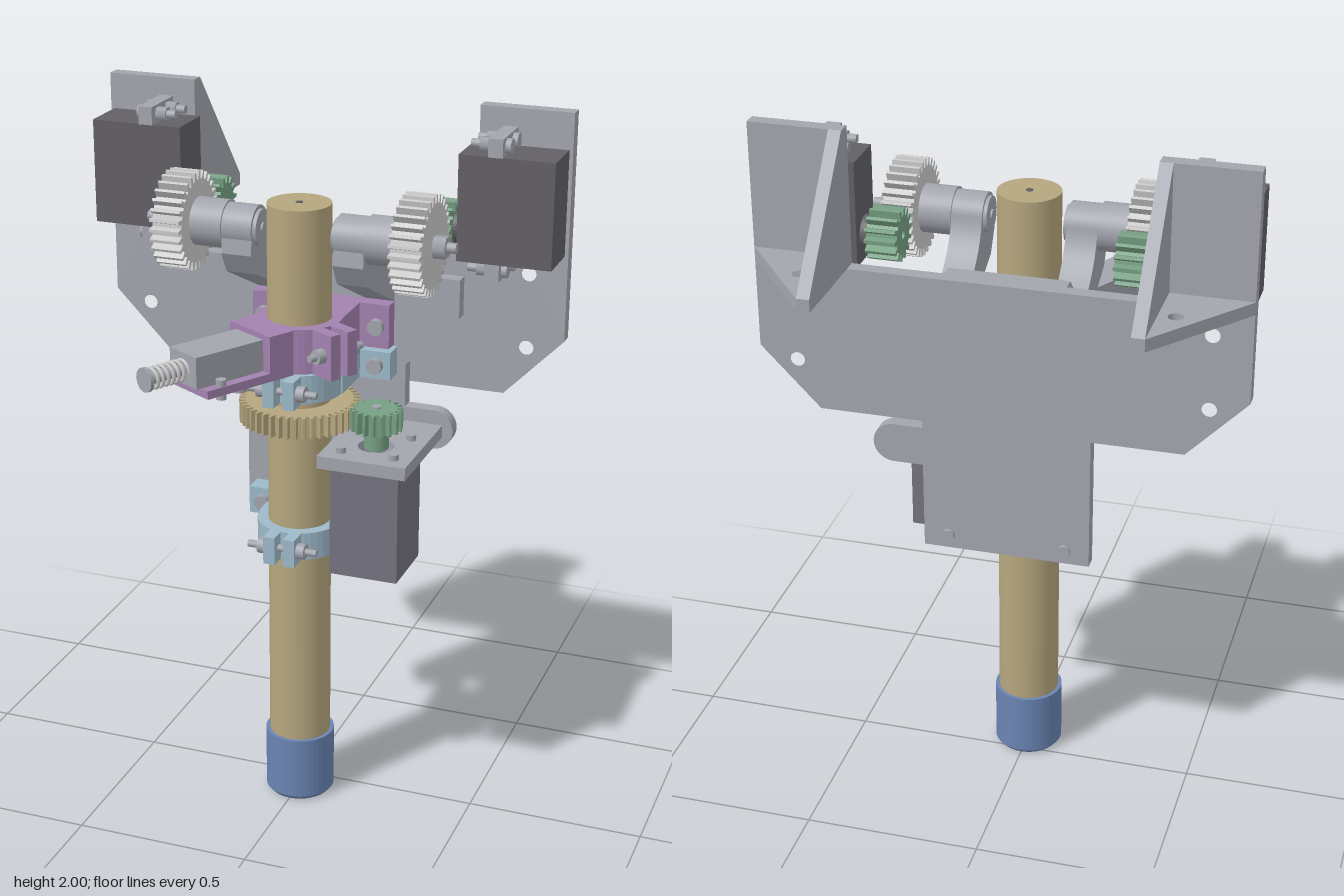
import * as THREE from 'three';

const GREY = 0xcccccc, STEEL = 0xa3a5ae, DARK = 0x626066, TAN = 0xb5a67e, BLUE = 0x6a84b3,
  PALE = 0x9db9c9, PURPLE = 0xa382b0, GREEN = 0x76a083, MOTOR = 0x757380;
const CZ = 0.065; // depth of the main tube's axis

export function createModel() {
  const root = new THREE.Group();
  const mats = {};
  const mat = c => (mats[c] ??= new THREE.MeshStandardMaterial({ color: c }));
  const add = (name, color, geo, parent = root) => {
    const m = new THREE.Mesh(geo, mat(color));
    m.name = name;
    parent.add(m);
    return m;
  };
  const box = (name, color, x0, x1, y0, y1, z0, z1, parent) => add(name, color,
    new THREE.BoxGeometry(Math.abs(x1 - x0), y1 - y0, z1 - z0)
      .translate((x0 + x1) / 2, (y0 + y1) / 2, (z0 + z1) / 2), parent);
  // Cylinder along an axis, from a to b, centred on p
  const rod = (name, color, axis, a, b, r, p, sides = 24, parent) => {
    const g = new THREE.CylinderGeometry(r, r, Math.abs(b - a), sides);
    if (axis === 'x') g.rotateZ(Math.PI / 2);
    if (axis === 'z') g.rotateX(Math.PI / 2);
    const c = new THREE.Vector3(...p);
    c[axis] = (a + b) / 2;
    return add(name, color, g.translate(c.x, c.y, c.z), parent);
  };
  const poly = pts => new THREE.Shape(pts.map(p => new THREE.Vector2(...p)));
  const hole = (shape, x, y, r) => {
    shape.holes.push(new THREE.Path().absarc(x, y, r, 0, Math.PI * 2, true));
    return shape;
  };
  const slab = (shape, depth) => new THREE.ExtrudeGeometry(shape, { depth, bevelEnabled: false, curveSegments: 20 });
  // Profiles drawn as (x,y), (z,y) and (x,z)
  const frontSlab = (s, z0, z1) => slab(s, z1 - z0).translate(0, 0, z0);
  const sideSlab = (s, x0, x1) => slab(s, x1 - x0).rotateY(-Math.PI / 2).translate(x1, 0, 0);
  const topSlab = (s, y0, y1) => slab(s, y1 - y0).rotateX(Math.PI / 2).translate(0, y1, 0);
  const gear = (cx, cy, r, teeth, depth, bore) => {
    const pts = [];
    for (let i = 0; i < teeth; i++) {
      [[-0.3, r - depth], [-0.14, r], [0.14, r], [0.3, r - depth]].forEach(([o, q]) => {
        const t = (i + o) / teeth * Math.PI * 2;
        pts.push([cx + Math.cos(t) * q, cy + Math.sin(t) * q]);
      });
    }
    return hole(poly(pts), cx, cy, bore);
  };

  // Main tube, foot cap
  rod('tube', TAN, 'y', 0.19, 1.765, 0.087, [0, 0, CZ], 48);
  rod('tubeTopHole', DARK, 'y', 1.76, 1.767, 0.01, [0, 0, CZ], 12);
  add('footCap', BLUE, new THREE.LatheGeometry([[0, 0], [0.088, 0], [0.098, 0.012], [0.098, 0.012],
    [0.098, 0.195], [0.098, 0.195], [0.085, 0.195]].map(p => new THREE.Vector2(...p)), 48)
    .toNonIndexed().translate(0, 0, CZ)).geometry.computeVertexNormals();

  // Wide back plate with two raised wings
  const half = [[0.41, 1.62], [0.41, 2], [0.665, 2], [0.665, 1.37], [0.5, 1.2]];
  const mirror = pts => [...pts, ...pts.map(([x, y]) => [-x, y]).reverse()];
  const backShape = poly(mirror(half));
  for (const s of [-1, 1]) for (const y of [1.34, 1.55]) hole(backShape, s * 0.56, y, 0.02);
  add('backPlate', STEEL, frontSlab(backShape, -0.24, -0.2));

  // Inner carrier plate with a rounded tab for the motor shelf
  const carrier = poly([[0.165, 1.61], [0.2, 1.53], [0.385, 1.53], [0.385, 1.42], [0.235, 1.27], [0.235, 1.145]]);
  carrier.lineTo(0.318, 1.145);
  carrier.absarc(0.318, 1.088, 0.057, Math.PI / 2, -Math.PI / 2, true);
  [[0.235, 1.031], [0.235, 0.78], [-0.235, 0.78], [-0.235, 1.27], [-0.385, 1.42], [-0.385, 1.53],
    [-0.2, 1.53], [-0.165, 1.61]].forEach(p => carrier.lineTo(...p));
  add('carrierPlate', STEEL, frontSlab(carrier, -0.18, -0.14));
  box('plateSpacer', STEEL, -0.2, 0.2, 1.21, 1.6, -0.2, -0.18);
  for (const s of [-1, 1]) {
    rod('carrierScrew', STEEL, 'z', -0.19, -0.18, 0.018, [s * 0.165, 0.82, 0], 16);
    rod('topScrew', STEEL, 'z', -0.2, -0.18, 0.02, [s * 0.165, 1.57, 0], 16);
  }

  // Left and right drive units
  for (const s of [-1, 1]) {
    const unit = new THREE.Group();
    unit.name = s > 0 ? 'leftDrive' : 'rightDrive';
    root.add(unit);
    const span = (a, b) => (s > 0 ? [a, b] : [-b, -a]);
    // rear gusset and shelf
    add('gusset', STEEL, sideSlab(poly([[-0.24, 1.62], [-0.24, 2], [-0.52, 1.655], [-0.52, 1.62]]),
      ...span(0.41, 0.445)), unit);
    const shelf = poly([[s * 0.44, -0.24], [s * 0.665, -0.24], [s * 0.445, -0.52], [s * 0.44, -0.52]]);
    add('gussetShelf', STEEL, topSlab(hole(shelf, s * 0.49, -0.375, 0.02), 1.62, 1.655), unit);
    // servo with screwed brackets
    box('servo', DARK, s * 0.395, s * 0.655, 1.61, 1.9, -0.2, -0.06, unit);
    for (const [y0, y1] of [[1.565, 1.61], [1.9, 1.95]]) {
      box('servoBracket', STEEL, s * 0.475, s * 0.515, y0, y1, -0.2, -0.055, unit);
      for (const z of [-0.095, -0.16]) {
        rod('servoScrew', STEEL, 'x', s * 0.42, s * 0.53, 0.012, [0, (y0 + y1) / 2, z], 12, unit);
        rod('servoScrewHead', STEEL, 'x', s * 0.505, s * 0.53, 0.02, [0, (y0 + y1) / 2, z], 16, unit);
        rod('servoNut', STEEL, 'x', s * 0.445, s * 0.475, 0.02, [0, (y0 + y1) / 2, z], 6, unit);
      }
    }
    // pinion and large gear
    rod('servoHorn', DARK, 'x', s * 0.37, s * 0.4, 0.045, [0, 1.685, -0.13], 24, unit);
    add('pinion', GREEN, sideSlab(gear(-0.13, 1.685, 0.072, 14, 0.02, 0.012), ...span(0.29, 0.375)), unit);
    add('driveGear', GREY, sideSlab(gear(CZ, 1.685, 0.135, 30, 0.022, 0.012), ...span(0.29, 0.375)), unit);
    // pivot hub, boss, axle and sloping arm
    rod('pivotHub', STEEL, 'x', s * 0.2, s * 0.29, 0.066, [0, 1.685, CZ], 32, unit);
    rod('pivotBoss', STEEL, 'x', s * 0.105, s * 0.2, 0.05, [0, 1.685, CZ], 32, unit);
    rod('axle', STEEL, 'x', s * 0.1, s * 0.435, 0.014, [0, 1.685, CZ], 16, unit);
    rod('axleNut', STEEL, 'x', s * 0.375, s * 0.41, 0.032, [0, 1.685, CZ], 6, unit);
    const arm = poly([[-0.18, 1.43], [-0.14, 1.45], [0.09, 1.56], [0.125, 1.62]]);
    arm.absarc(CZ, 1.685, 0.06, -0.4, Math.PI * 0.95, false);
    arm.quadraticCurveTo(-0.01, 1.6, -0.14, 1.535);
    arm.lineTo(-0.18, 1.53);
    add('pivotArm', STEEL, sideSlab(arm, ...span(0.115, 0.2)), unit);
  }

  // Split tube clamps
  const ring = (r, inner) => hole(new THREE.Shape().absarc(0, CZ, r, 0, Math.PI * 2, false), 0, CZ, inner);
  for (const y of [0.78, 1.24]) {
    const clamp = new THREE.Group();
    clamp.name = 'tubeClamp';
    root.add(clamp);
    const h = y + 0.08, m = y + 0.04;
    add('clampRing', PALE, topSlab(ring(0.118, 0.087), y, h), clamp);
    for (const s of [-1, 1]) {
      box('clampFoot', PALE, s * 0.08, s * 0.21, y, h, -0.14, -0.08, clamp);
      box('clampWall', PALE, s * 0.08, s * 0.122, y, h, -0.09, 0.06, clamp);
      rod('footScrew', STEEL, 'z', -0.08, -0.06, 0.022, [s * 0.168, m, 0], 16, clamp);
      box('clampEar', PALE, s * 0.012, s * 0.045, y, h, 0.155, 0.23, clamp);
      rod('earScrewHead', STEEL, 'x', s * 0.045, s * 0.068, 0.022, [0, m, 0.2], 16, clamp);
    }
    rod('earScrew', STEEL, 'x', -0.1, 0.1, 0.01, [0, m, 0.2], 12, clamp);
  }

  // Turning gear, its pinion and motor on a shelf
  add('tubeGear', TAN, topSlab(gear(0, CZ, 0.165, 44, 0.018, 0.086), 1.155, 1.215));
  add('motorPinion', GREEN, topSlab(gear(0.222, CZ, 0.072, 18, 0.016, 0.012), 1.155, 1.215));
  rod('pinionHub', GREEN, 'y', 1.1, 1.155, 0.034, [0.222, 0, CZ]);
  rod('motorShaft', STEEL, 'y', 1.05, 1.22, 0.013, [0.222, 0, CZ], 16);
  add('motorShelf', STEEL, topSlab(hole(poly([[0.095, -0.02], [0.235, -0.14], [0.345, -0.14], [0.345, 0.19], [0.095, 0.19]]),
    0.222, CZ, 0.05), 1.068, 1.104));
  box('motor', MOTOR, 0.125, 0.318, 0.75, 1.068, -0.03, 0.165);
  for (const dx of [-0.075, 0.075]) for (const dz of [-0.075, 0.075])
    rod('motorScrew', STEEL, 'y', 1.1, 1.12, 0.014, [0.222 + dx, 0, CZ + dz], 12);

  // Latch collar with rear block
  add('latchCollar', PURPLE, topSlab(ring(0.118, 0.088), 1.325, 1.45));
  add('latchRearBlock', PURPLE, topSlab(poly([[-0.115, -0.14], [0.115, -0.14], [0.115, 0.05],
    [0.09, 0.05], [0.07, -0.02], [-0.07, -0.02], [-0.09, 0.05], [-0.115, 0.05]]), 1.325, 1.45));
  for (const s of [-1, 1]) {
    box('latchFlange', PURPLE, s * 0.1, s * 0.2, 1.325, 1.45, -0.14, -0.095);
    rod('latchFlangeScrew', STEEL, 'z', -0.095, -0.075, 0.022, [s * 0.165, 1.388, 0], 16);
  }

  // Angled latch: local +z points along the plunger
  const latch = new THREE.Group();
  latch.name = 'latch';
  latch.position.set(0, 0, CZ);
  latch.rotation.y = -Math.PI / 6;
  root.add(latch);
  box('latchBlock', PURPLE, -0.085, 0.085, 1.325, 1.45, 0.09, 0.17, latch);
  box('latchTray', PURPLE, -0.085, 0.085, 1.325, 1.348, 0.09, 0.375, latch);
  box('solenoid', STEEL, -0.057, 0.057, 1.348, 1.435, 0.17, 0.39, latch);
  rod('plunger', STEEL, 'z', 0.38, 0.51, 0.016, [0, 1.388, 0], 16, latch);
  rod('plungerHead', STEEL, 'z', 0.505, 0.515, 0.033, [0, 1.388, 0], 24, latch);
  const coil = Array.from({ length: 85 }, (_, i) => new THREE.Vector3(
    Math.cos(i / 12 * Math.PI * 2) * 0.027, 1.388 + Math.sin(i / 12 * Math.PI * 2) * 0.027, 0.39 + i / 84 * 0.115));
  add('spring', GREY, new THREE.TubeGeometry(new THREE.CatmullRomCurve3(coil), 168, 0.005, 6), latch);
  for (const s of [-1, 1]) {
    rod('trayScrew', STEEL, 'y', 1.31, 1.365, 0.014, [s * 0.07, 0, 0.32], 12, latch);
    rod('trayScrewHead', STEEL, 'y', 1.305, 1.325, 0.022, [s * 0.04, 0, 0.24], 16, latch);
  }

  // Pinch ears of the collar
  const ears = new THREE.Group();
  ears.name = 'collarEars';
  ears.position.set(0, 0, CZ);
  ears.rotation.y = Math.PI / 3;
  root.add(ears);
  for (const s of [-1, 1]) {
    box('collarEar', PURPLE, s * 0.012, s * 0.045, 1.325, 1.45, 0.095, 0.185, ears);
    rod('collarScrewHead', STEEL, 'x', s * 0.045, s * 0.07, 0.02, [0, 1.388, 0.15], 16, ears);
  }
  rod('collarScrew', STEEL, 'x', -0.09, 0.09, 0.01, [0, 1.388, 0.15], 12, ears);
  return root;
}
